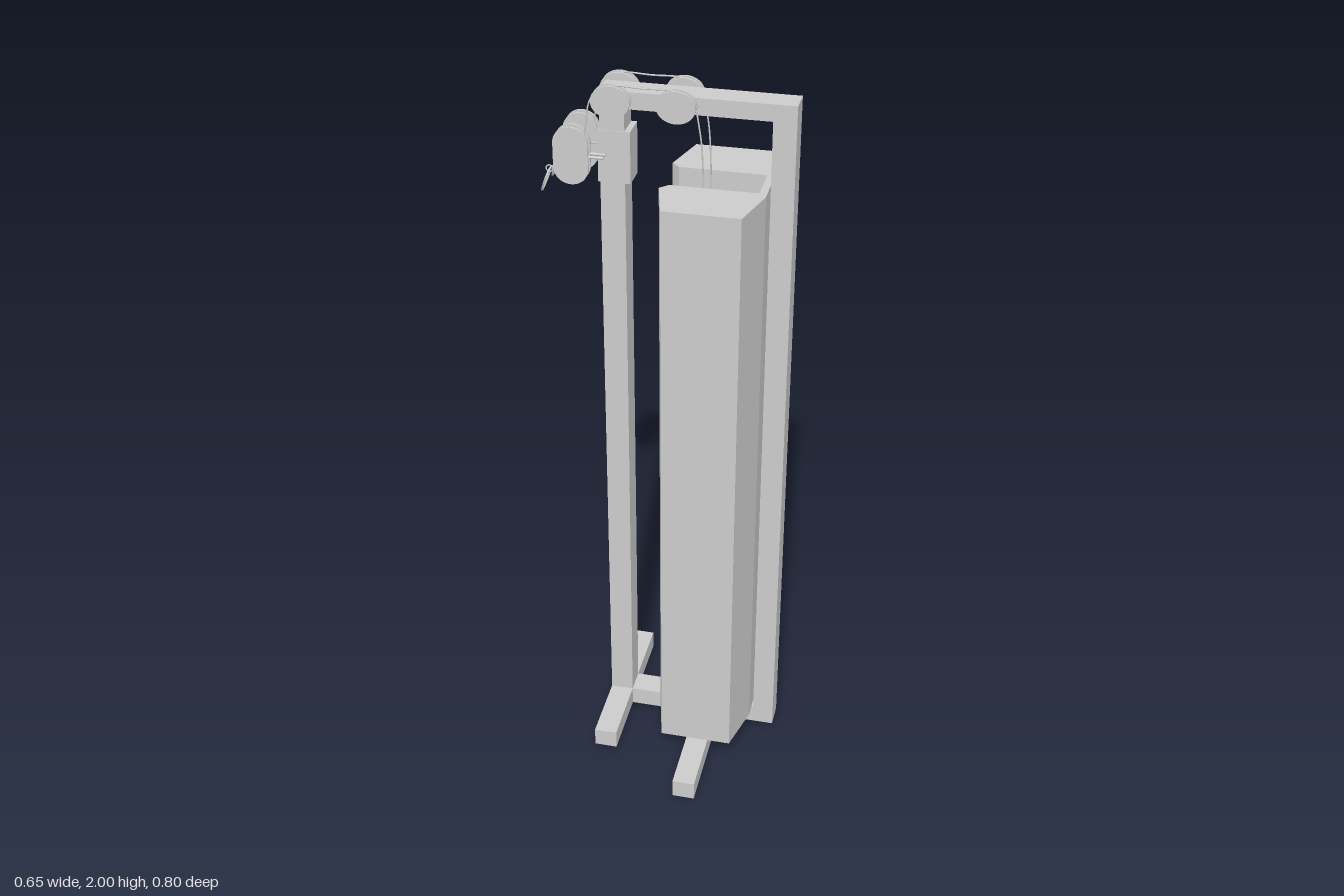
import * as THREE from 'three';

const grey = new THREE.MeshStandardMaterial({ color: 0xcccccc });

export function createModel() {
  const root = new THREE.Group();

  const add = (name, geometry, parent = root) => {
    const mesh = new THREE.Mesh(geometry, grey);
    mesh.name = name;
    parent.add(mesh);
    return mesh;
  };
  // Box given by its limits on each axis
  const box = (name, x0, x1, y0, y1, z0, z1) =>
    add(name, new THREE.BoxGeometry(x1 - x0, y1 - y0, z1 - z0))
      .position.set((x0 + x1) / 2, (y0 + y1) / 2, (z0 + z1) / 2);
  const v = (x, y, z) => new THREE.Vector3(x, y, z);

  // Frame
  box('baseBeam', -0.175, 0.325, 0, 0.055, -0.036, 0.036);
  box('cableFoot', -0.175, -0.11, 0, 0.055, -0.24, 0.24);
  box('shroudFoot', 0.097, 0.16, 0, 0.055, -0.4, 0.4);
  box('cablePost', -0.175, -0.11, 0.055, 1.935, -0.036, 0.036);
  box('backPost', 0.265, 0.325, 0.055, 1.98, -0.036, 0.036);
  box('topBeam', -0.175, 0.265, 1.935, 1.98, -0.036, 0.036);
  box('sliderBracket', -0.18, -0.095, 1.735, 1.875, -0.038, 0.038);

  // Shroud: faceted column with a channel open towards -x
  const half = [[0.26, 0.075], [0.225, 0.213], [0.022, 0.213], [-0.012, 0.08], [0.01, 0.057], [0.24, 0.057]];
  const outline = [...half, ...half.map(([x, z]) => [x, -z]).reverse()];
  const shroud = new THREE.ExtrudeGeometry(
    new THREE.Shape(outline.map(([x, z]) => new THREE.Vector2(x, z))),
    { depth: 1.695, bevelEnabled: false });
  shroud.rotateX(-Math.PI / 2).translate(0, 0.057, 0);
  add('shroud', shroud);
  box('shroudFloor', 0.01, 0.24, 0.057, 0.075, -0.057, 0.057);

  // Weight stack inside the channel
  const plates = 16, bottom = 0.11, pitch = 0.042;
  for (let i = 0; i < plates; i++) {
    const y = bottom + i * pitch;
    box('weightPlate', 0.04, 0.215, y, y + pitch - 0.006, -0.054, 0.054);
  }
  box('stackCore', 0.05, 0.205, 0.075, bottom + plates * pitch - 0.01, -0.05, 0.05);

  // Oval outline with straight sides of length 2s
  const oval = (rx, ry, s) => {
    const shape = new THREE.Shape();
    shape.absellipse(0, s, rx, ry, 0, Math.PI, false);
    shape.absellipse(0, -s, rx, ry, Math.PI, Math.PI * 2, false);
    shape.closePath();
    return shape;
  };
  const slab = (shape, z0, z1) =>
    new THREE.ExtrudeGeometry(shape, { depth: z1 - z0, bevelEnabled: false, curveSegments: 16 }).translate(0, 0, z0);

  // Two cheek plates with a narrower wheel between them
  const pulley = (name, parent, x, y, rx, ry, s, z0, z1) => {
    const group = new THREE.Group();
    group.name = name;
    group.position.set(x, y, 0);
    parent.add(group);
    add('innerCheek', slab(oval(rx, ry, s), z0, z0 + 0.007), group);
    add('outerCheek', slab(oval(rx, ry, s), z1 - 0.007, z1), group);
    add('wheel', slab(oval(rx * 0.75, ry * 0.75, s), z0 + 0.007, z1 - 0.007), group);
  };

  // One cable system on each side of the frame
  for (const side of [1, -1]) {
    const cableway = new THREE.Group();
    cableway.name = side > 0 ? 'frontCableway' : 'backCableway';
    root.add(cableway);
    const zc = 0.048 * side;
    const zs = (a, b) => (side > 0 ? [a, b] : [-b, -a]);

    pulley('cornerPulley', cableway, -0.141, 1.958, 0.05, 0.042, 0, ...zs(0.036, 0.06));
    pulley('topPulley', cableway, 0.026, 1.958, 0.05, 0.042, 0, ...zs(0.036, 0.06));
    pulley('swivelPulley', cableway, -0.245, 1.808, 0.046, 0.044, 0.033, ...zs(0.034, 0.063));

    // Short arm joining the swivel pulley to the bracket
    for (const z of [0.037, 0.059]) {
      const arm = add('swivelArm', new THREE.CylinderGeometry(0.004, 0.004, 0.06, 8).rotateZ(Math.PI / 2), cableway);
      arm.position.set(-0.19, 1.808, z * side);
    }

    // Cable from the clip, over the pulleys, down to the stack
    const path = new THREE.CatmullRomCurve3([
      [-0.3, 1.768], [-0.27, 1.785], [-0.225, 1.82], [-0.208, 1.88], [-0.197, 1.95], [-0.175, 1.985],
      [-0.14, 1.998], [-0.06, 1.997], [0.026, 1.996], [0.065, 1.975], [0.085, 1.9],
      [0.094, 1.8], [0.095, 1.6], [0.095, 0.78],
    ].map(([x, y]) => v(x, y, zc)));
    add('cable', new THREE.TubeGeometry(path, 90, 0.0022, 6), cableway);

    // Pear-shaped clip hanging from the cable end
    const ring = [[0, 0], [0.006, 0.012], [0.022, 0.02], [0.055, 0.011], [0.068, 0],
      [0.055, -0.011], [0.022, -0.02], [0.006, -0.012]];
    const clip = new THREE.CatmullRomCurve3(
      ring.map(([d, w]) => v(-0.303 - d * 0.35, 1.765 - d * 0.94, zc + w)), true);
    add('clip', new THREE.TubeGeometry(clip, 40, 0.0028, 6, true), cableway);
    const eye = add('cableEye', new THREE.TorusGeometry(0.009, 0.002, 6, 16), cableway);
    eye.position.set(-0.305, 1.763, zc);
  }
  return root;
}
